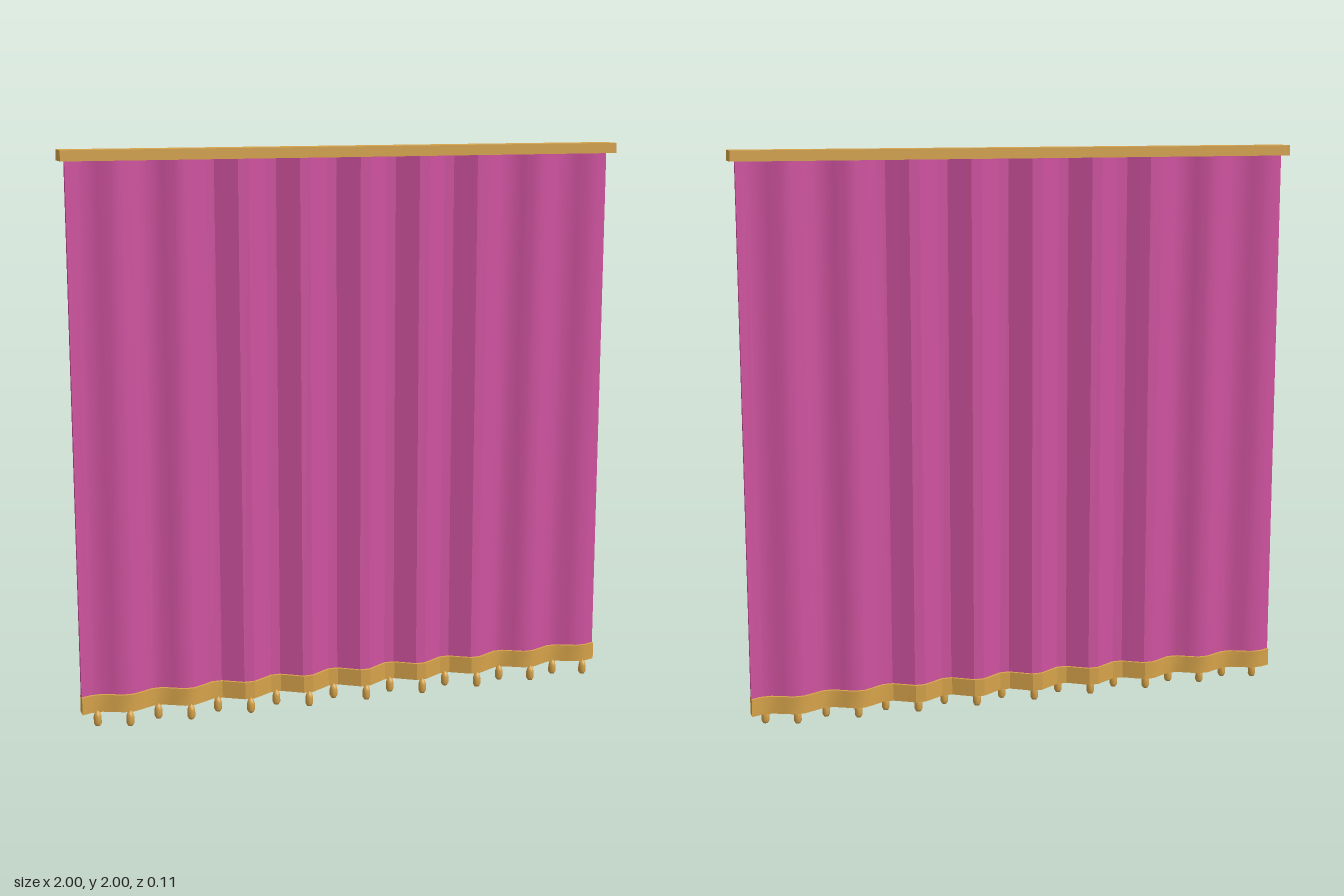
import * as THREE from 'three';
import { toCreasedNormals } from 'three/addons/utils/BufferGeometryUtils.js';

const WIDTH = 1.96, WAVES = 9, SEGMENTS = 54, CLOTH_Z = -0.01;

// Depth of the folds at x; they are deepest in the middle
function foldZ(x) {
  const depth = 0.0268 * (1 - 0.45 * x * x);
  return CLOTH_Z - depth * Math.sin((x / WIDTH + 0.5) * WAVES * Math.PI * 2);
}

// Slab of fabric bent along the folds
function foldedSlab(bottom, top, thickness) {
  const geo = new THREE.BoxGeometry(WIDTH, top - bottom, thickness, SEGMENTS, 1, 1);
  geo.translate(0, (top + bottom) / 2, 0);
  const p = geo.attributes.position;
  for (let i = 0; i < p.count; i++) p.setZ(i, p.getZ(i) + foldZ(p.getX(i)));
  return toCreasedNormals(geo, Math.PI / 6);
}

export function createModel() {
  const fabric = new THREE.MeshStandardMaterial({ color: 0xcf529f });
  fabric.name = 'pinkFabric';
  const gold = new THREE.MeshStandardMaterial({ color: 0xd6a34a });
  gold.name = 'gold';

  const model = new THREE.Group();
  model.name = 'curtain';
  const add = (name, geo, mat, parent = model) => {
    const mesh = new THREE.Mesh(geo, mat);
    mesh.name = name;
    parent.add(mesh);
    return mesh;
  };

  // Top rail
  add('rail', new THREE.BoxGeometry(2, 0.036, 0.09), gold).position.set(0, 1.982, -0.005);

  // Pleated cloth and hem band
  add('cloth', foldedSlab(0.1, 1.966, 0.018), fabric);
  add('hemBand', foldedSlab(0.05, 0.112, 0.04), gold);

  // Tassels along the hem, one on each fold crest
  const tassels = new THREE.Group();
  tassels.name = 'tassels';
  model.add(tassels);
  const profile = [[0, 0], [0.009, 0.003], [0.014, 0.012], [0.014, 0.036], [0.01, 0.05], [0, 0.058]]
    .map(([r, y]) => new THREE.Vector2(r, y));
  const tasselGeo = new THREE.LatheGeometry(profile, 10);
  const count = WAVES * 2;
  for (let i = 0; i < count; i++) {
    const x = ((i + 0.5) / count - 0.5) * WIDTH;
    add('tassel', tasselGeo, gold, tassels).position.set(x, 0, foldZ(x) + 0.024);
  }
  return model;
}
